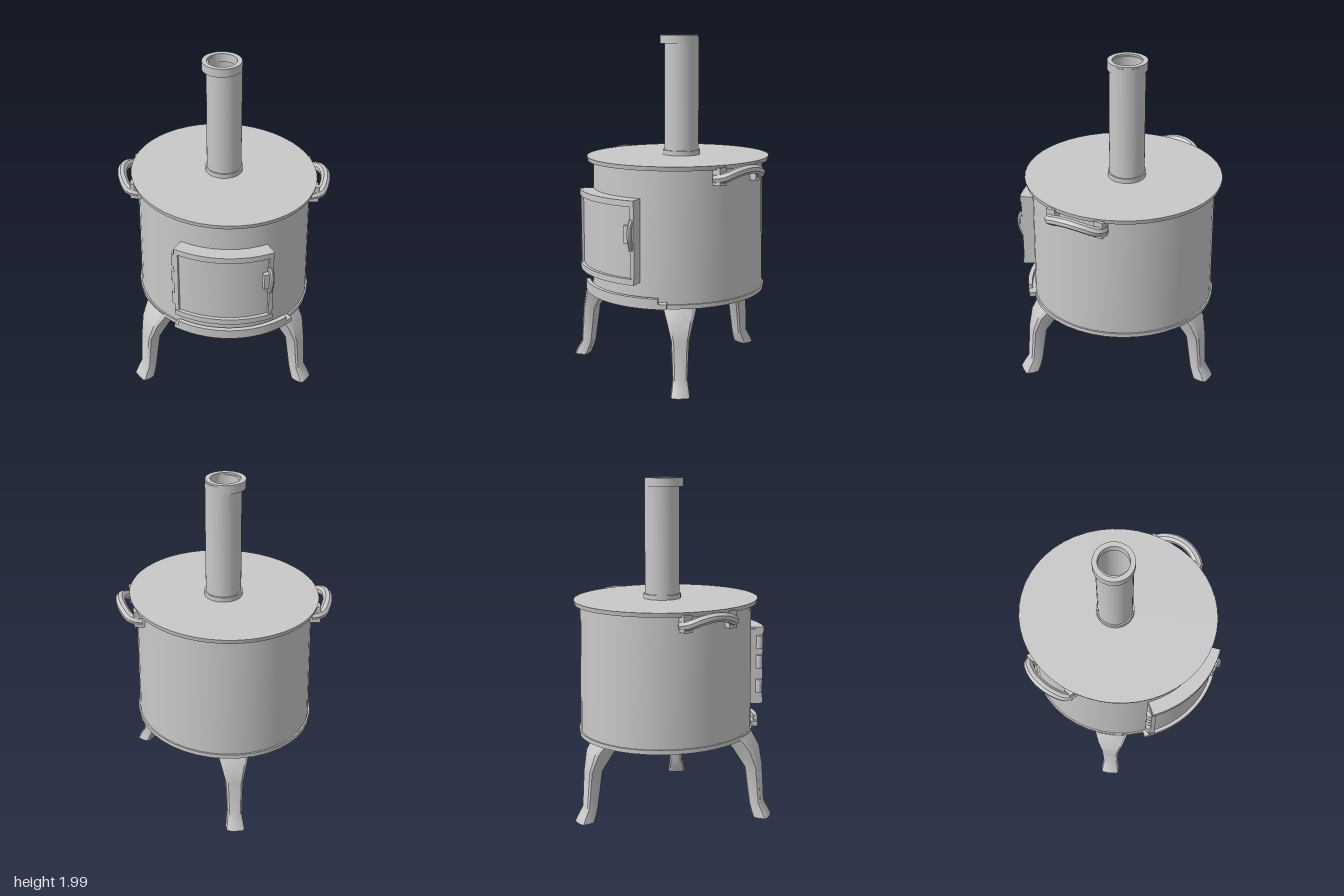
import * as THREE from 'three';
import { toCreasedNormals } from 'three/addons/utils/BufferGeometryUtils.js';

const iron = new THREE.MeshStandardMaterial({ color: 0xc8c8c8, side: THREE.DoubleSide });
iron.name = 'light grey iron';
const rad = THREE.MathUtils.degToRad;

function add(parent, name, geometry) {
  const mesh = new THREE.Mesh(toCreasedNormals(geometry, 0.6), iron);
  mesh.name = name;
  parent.add(mesh);
  return mesh;
}

// Curved plate following the drum; angles run from +x towards +z
function arcPlate(r0, r1, a0, a1, y0, y1) {
  const s = new THREE.Shape();
  s.absarc(0, 0, r1, rad(a0), rad(a1), false);
  s.absarc(0, 0, r0, rad(a1), rad(a0), true);
  return new THREE.ExtrudeGeometry(s, { depth: y1 - y0, bevelEnabled: false, curveSegments: 16 })
    .rotateX(Math.PI / 2).translate(0, y1, 0);
}

// Hollow upright pipe
function pipe(r0, r1, y0, y1) {
  const s = new THREE.Shape().absarc(0, 0, r1, 0, Math.PI * 2, false);
  s.holes.push(new THREE.Path().absarc(0, 0, r0, 0, Math.PI * 2, true));
  return new THREE.ExtrudeGeometry(s, { depth: y1 - y0, bevelEnabled: false, curveSegments: 20 })
    .rotateX(Math.PI / 2).translate(0, y1, 0);
}

function disc(rTop, rBottom, y0, y1) {
  return new THREE.CylinderGeometry(rTop, rBottom, y1 - y0, 48).translate(0, (y0 + y1) / 2, 0);
}

// Bent leg lofted from rounded cross-sections: [y, inner radius, outer radius, half width]
function legGeometry() {
  const sections = [
    [0.51, 0.38, 0.52, 0.105], [0.43, 0.44, 0.575, 0.08], [0.32, 0.51, 0.6, 0.052],
    [0.1, 0.54, 0.615, 0.043], [0.05, 0.555, 0.645, 0.05], [0.015, 0.57, 0.66, 0.055]
  ];
  const n = 12, pos = [], idx = [];
  const root = (v) => Math.sign(v) * Math.sqrt(Math.abs(v));
  for (const [y, a, b, w] of sections) {
    for (let i = 0; i < n; i++) {
      const t = (i / n) * Math.PI * 2;
      pos.push((a + b) / 2 + root(Math.cos(t)) * (b - a) / 2, y, root(Math.sin(t)) * w);
    }
  }
  for (let k = 0; k < sections.length - 1; k++) {
    for (let i = 0; i < n; i++) {
      const p = k * n + i, q = k * n + (i + 1) % n;
      idx.push(p, q, p + n, q, q + n, p + n);
    }
  }
  const last = (sections.length - 1) * n;
  for (let i = 1; i < n - 1; i++) idx.push(0, i + 1, i, last, last + i, last + i + 1);
  const g = new THREE.BufferGeometry();
  g.setAttribute('position', new THREE.Float32BufferAttribute(pos, 3));
  g.setIndex(idx);
  return g;
}

function tube(points, radius) {
  const curve = new THREE.CatmullRomCurve3(points.map((p) => new THREE.Vector3(...p)));
  return new THREE.TubeGeometry(curve, 20, radius, 8);
}

export function createModel() {
  const model = new THREE.Group();
  model.name = 'stove';

  // Slightly oval drum with everything fixed to it
  const stove = new THREE.Group();
  stove.name = 'stoveBody';
  stove.position.set(0.03, 0, -0.035);
  stove.scale.z = 1.07;
  model.add(stove);

  add(stove, 'drum', disc(0.498, 0.508, 0.5, 1.275));
  add(stove, 'bottomRim', pipe(0.49, 0.517, 0.495, 0.52));
  add(stove, 'topPlate', disc(0.537, 0.532, 1.272, 1.297));

  // Three legs: angle around the drum and radial shift
  for (const [angle, shift] of [[67, -0.03], [174, 0], [-60, -0.07]]) {
    const leg = legGeometry().translate(shift, 0, 0);
    add(stove, 'leg', leg).rotation.y = -rad(angle);
  }

  // Fire door: panel, raised frame, hinges and latch
  add(stove, 'doorPanel', arcPlate(0.49, 0.56, 94, 150, 0.65, 1.1));
  for (const [y0, y1] of [[0.635, 0.67], [1.075, 1.11]]) {
    add(stove, 'doorRail', arcPlate(0.49, 0.58, 93, 150, y0, y1));
  }
  for (const a of [93, 148]) {
    add(stove, 'doorStile', arcPlate(0.49, 0.575, a, a + 2.5, 0.65, 1.1));
  }
  for (const y of [0.75, 0.9, 1.02]) {
    add(stove, 'hinge', new THREE.CylinderGeometry(0.02, 0.02, 0.08, 12).translate(0.555, y, 0))
      .rotation.y = -rad(151);
  }
  add(stove, 'latchPlate', arcPlate(0.53, 0.585, 93, 99, 0.87, 0.97));
  add(stove, 'latchHandle', tube([[0.56, 1.0, 0], [0.585, 0.97, 0], [0.59, 0.9, 0], [0.57, 0.83, 0]], 0.014))
    .rotation.y = -rad(95);

  // Ash ledge below the door
  add(stove, 'ashLedge', arcPlate(0.48, 0.55, 75, 153, 0.5, 0.53));
  add(stove, 'ashLedgeLip', arcPlate(0.525, 0.55, 80, 150, 0.53, 0.56));

  // Two carrying handles just under the top plate
  for (const a of [27, 213]) {
    const handle = new THREE.Group();
    handle.name = 'carryHandle';
    handle.rotation.y = -rad(a);
    stove.add(handle);
    add(handle, 'grip', tube([
      [0.48, 1.22, -0.15], [0.54, 1.23, -0.14], [0.58, 1.26, -0.07],
      [0.59, 1.27, 0], [0.58, 1.26, 0.07], [0.54, 1.23, 0.14], [0.48, 1.22, 0.15]
    ], 0.028));
    for (const z of [-0.14, 0.14]) {
      add(handle, 'bracket', new THREE.BoxGeometry(0.06, 0.1, 0.05).translate(0.5, 1.235, z));
    }
  }

  // Open chimney with collars
  const chimney = new THREE.Group();
  chimney.name = 'chimney';
  chimney.position.set(0.045, 0, -0.055);
  model.add(chimney);
  add(chimney, 'flue', pipe(0.088, 0.102, 1.29, 1.99));
  add(chimney, 'baseCollar', pipe(0.088, 0.11, 1.29, 1.325));
  add(chimney, 'topCollar', pipe(0.085, 0.113, 1.95, 2.0)).position.x = -0.015;

  return model;
}
